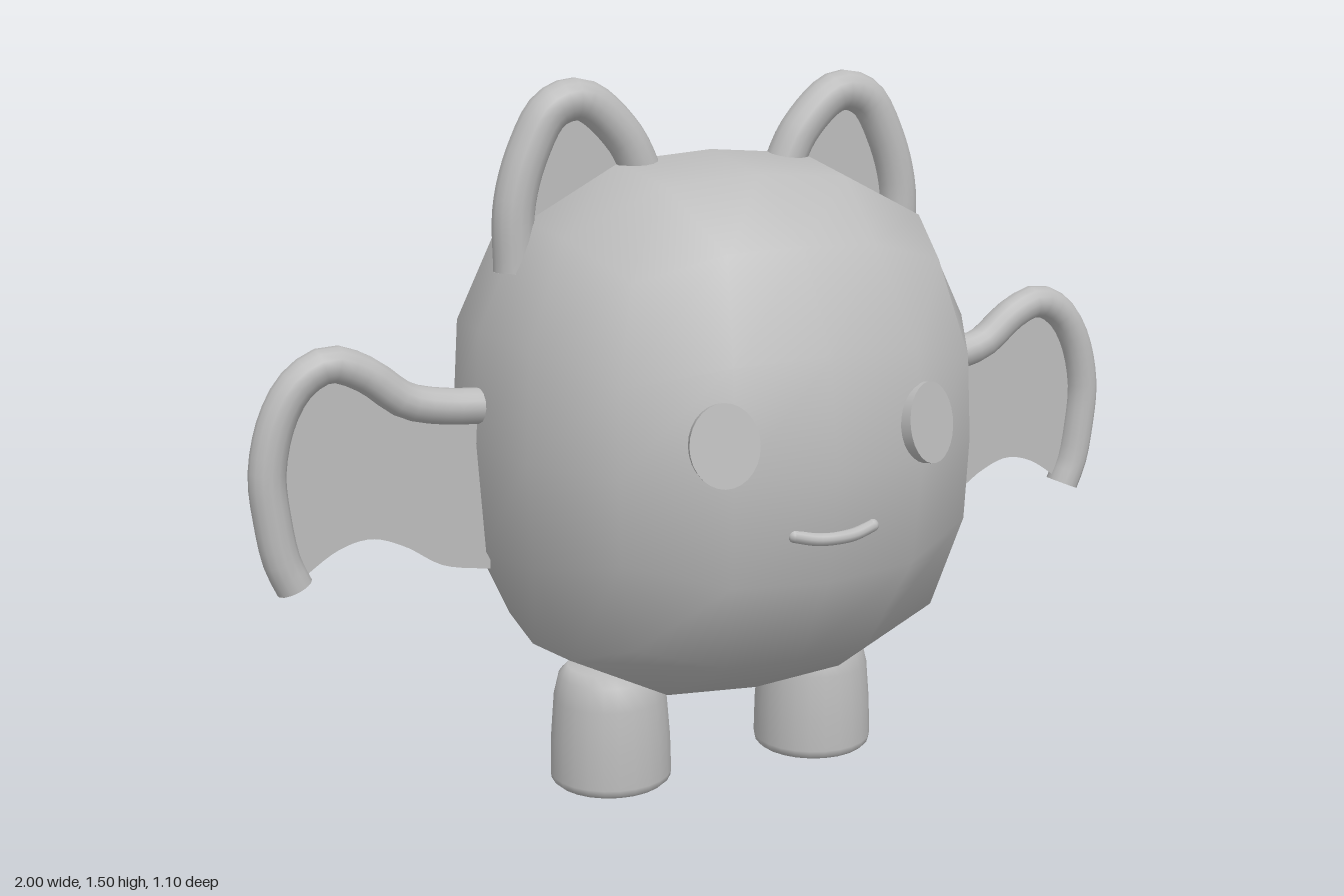
import * as THREE from 'three';
import { mergeVertices } from 'three/addons/utils/BufferGeometryUtils.js';

const grey = new THREE.MeshStandardMaterial({ color: 0xbcbcbc, side: THREE.DoubleSide });
grey.name = 'grey';

function part(name, geometry) {
  const mesh = new THREE.Mesh(geometry, grey);
  mesh.name = name;
  return mesh;
}

// Rounded cube body: a coarse cube pushed out onto a boxy ellipsoid
function makeBody() {
  let g = new THREE.BoxGeometry(2, 2, 2, 4, 4, 4);
  g.deleteAttribute('uv');
  g.deleteAttribute('normal');
  g = mergeVertices(g);
  const p = g.attributes.position;
  const v = new THREE.Vector3();
  for (let i = 0; i < p.count; i++) {
    v.fromBufferAttribute(p, i);
    v.set(...v.toArray().map((c) => Math.tan((c * Math.PI) / 4)));
    const xy = Math.abs(v.x) ** 2.8 + Math.abs(v.y) ** 2.8;
    const r = (xy ** (2.25 / 2.8) + Math.abs(v.z) ** 2.25) ** (1 / 2.25);
    v.divideScalar(r);
    p.setXYZ(i, v.x * 0.535, 0.772 + v.y * 0.572, v.z * 0.55);
  }
  g.computeVertexNormals();
  return part('body', g);
}

// Round bar along a flat path, with capped ends
function makeBar(name, points, z, radius) {
  const group = new THREE.Group();
  group.name = name;
  const curve = new THREE.CatmullRomCurve3(points.map(([x, y]) => new THREE.Vector3(x, y, z)));
  group.add(part(name + 'Tube', new THREE.TubeGeometry(curve, 28, radius, 14)));
  for (const t of [0, 1]) {
    const cap = part(name + 'Cap', new THREE.CircleGeometry(radius, 14));
    const out = curve.getTangent(t).multiplyScalar(t ? 1 : -1);
    cap.position.copy(curve.getPoint(t));
    cap.quaternion.setFromUnitVectors(new THREE.Vector3(0, 0, 1), out);
    group.add(cap);
  }
  return group;
}

// Flat skin stretched between a bar path and a lower edge
function makeSkin(name, top, bottom, z) {
  const smooth = (pts) => new THREE.SplineCurve(pts.map(([x, y]) => new THREE.Vector2(x, y))).getPoints(24);
  const outline = [...smooth(top), ...smooth(bottom)];
  const skin = part(name, new THREE.ShapeGeometry(new THREE.Shape(outline)));
  skin.position.z = z;
  return skin;
}

const earPath = [[0.15, 1.27], [0.205, 1.38], [0.295, 1.456], [0.36, 1.44], [0.41, 1.36], [0.443, 1.25], [0.445, 1.12]];
const earBase = [[0.43, 1.1], [0.3, 1.15], [0.16, 1.25]];
const wingPath = [[0.51, 0.85], [0.6, 0.857], [0.68, 0.877], [0.76, 0.937], [0.83, 0.963], [0.89, 0.935],
  [0.935, 0.87], [0.963, 0.76], [0.957, 0.66], [0.942, 0.575], [0.92, 0.522]];
const wingHem = [[0.9, 0.54], [0.83, 0.585], [0.76, 0.6], [0.69, 0.575], [0.61, 0.525], [0.51, 0.505]];
const footProfile = [[0, 0], [0.118, 0], [0.12, 0], [0.129, 0.008], [0.131, 0.02], [0.129, 0.1],
  [0.122, 0.19], [0.11, 0.24], [0.09, 0.26], [0, 0.264]];

export function createModel() {
  const model = new THREE.Group();
  model.name = 'wingedCreature';
  model.add(makeBody());

  for (const s of [1, -1]) {
    const side = s > 0 ? 'left' : 'right';
    const flip = (pts) => pts.map(([x, y]) => [x * s, y]);

    // Ears
    model.add(makeBar(side + 'EarRim', flip(earPath), 0.012, 0.043));
    model.add(makeSkin(side + 'EarInner', flip(earPath), flip(earBase), 0.012));

    // Wings
    model.add(makeBar(side + 'WingBone', flip(wingPath), 0.007, 0.037));
    model.add(makeSkin(side + 'WingSkin', flip(wingPath), flip(wingHem), 0.007));

    // Feet
    const foot = part(side + 'Foot', new THREE.LatheGeometry(footProfile.map(([x, y]) => new THREE.Vector2(x, y)), 24));
    foot.position.set(s * 0.248, 0, 0.013);
    model.add(foot);

    // Eyes: oval discs turned to follow the face
    const disc = new THREE.CylinderGeometry(1, 1, 0.03, 28).rotateX(Math.PI / 2).scale(0.067, 0.081, 1);
    const eye = part(side + 'Eye', disc);
    eye.position.set(s * 0.222, 0.843, 0.506);
    eye.rotation.set(-0.15, s * 0.35, 0, 'YXZ');
    model.add(eye);
  }

  // Mouth
  const smile = new THREE.CatmullRomCurve3([[-0.08, 0.653, 0.522], [-0.035, 0.643, 0.53], [0.007, 0.641, 0.533],
    [0.05, 0.643, 0.53], [0.094, 0.653, 0.522]].map((a) => new THREE.Vector3(...a)));
  model.add(part('mouth', new THREE.TubeGeometry(smile, 16, 0.013, 10)));
  for (const t of [0, 1]) {
    const tip = part('mouthTip', new THREE.SphereGeometry(0.013, 10, 8));
    tip.position.copy(smile.getPoint(t));
    model.add(tip);
  }
  return model;
}
